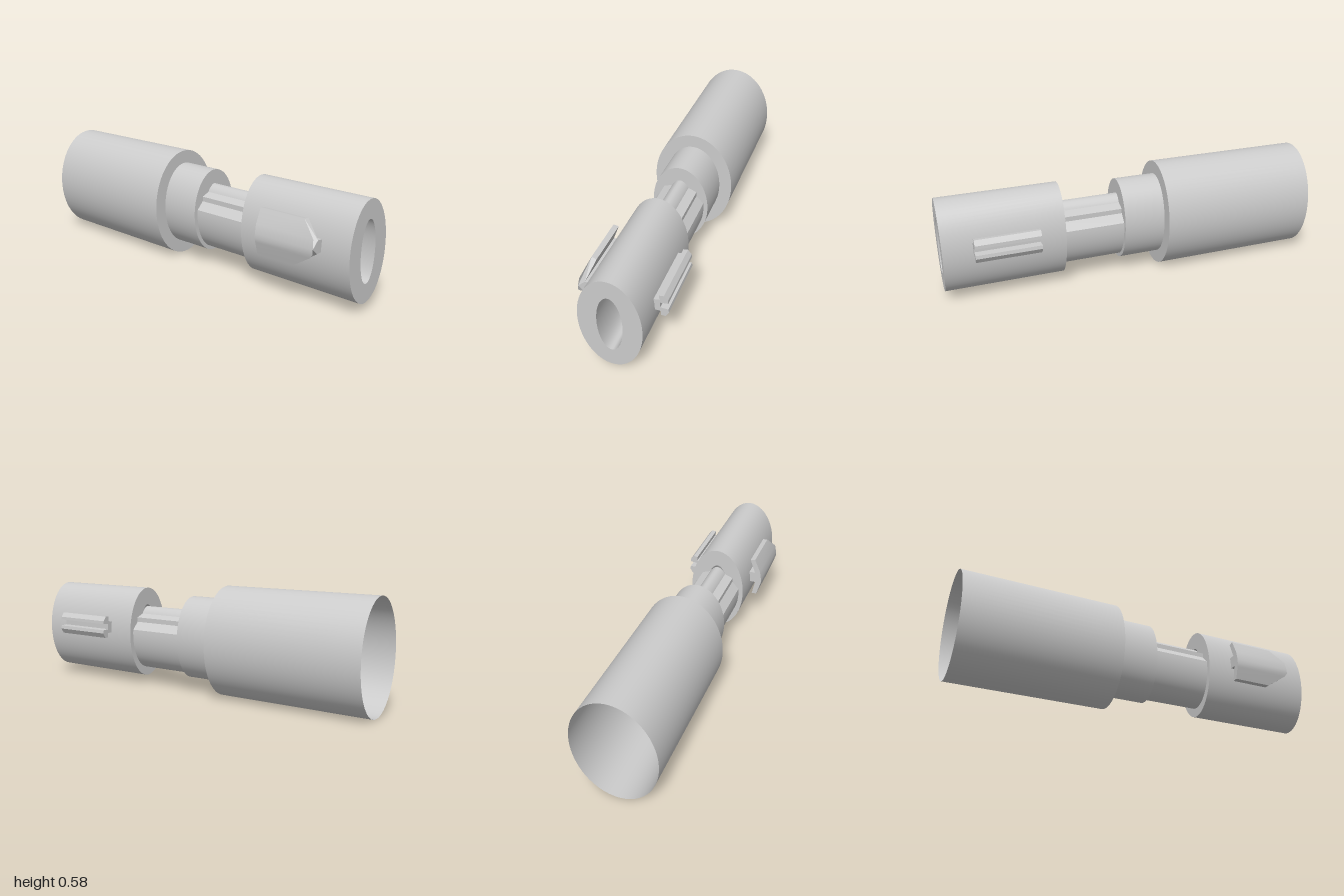
import * as THREE from 'three';
import { toCreasedNormals } from 'three/addons/utils/BufferGeometryUtils.js';

const CY = 0.293; // height of the common axis
const material = new THREE.MeshStandardMaterial({ color: 0xcccccc, side: THREE.DoubleSide });

// Closed loop of points around an ellipse on the axis
function ellipse(rx, ry, n = 64) {
  return Array.from({ length: n }, (_, i) => {
    const a = (i / n) * Math.PI * 2;
    return new THREE.Vector2(rx * Math.cos(a), CY + ry * Math.sin(a));
  });
}

function ring(outer, inner) {
  const shape = new THREE.Shape(outer);
  if (inner) shape.holes.push(new THREE.Path(inner));
  return shape;
}

function part(name, geometry) {
  const mesh = new THREE.Mesh(toCreasedNormals(geometry, 0.5), material);
  mesh.name = name;
  return mesh;
}

// Thin open sleeve following an outline from z0 to z1
function sleeve(name, outline, z0, z1) {
  const pos = [];
  outline.forEach((p, i) => {
    const q = outline[(i + 1) % outline.length];
    pos.push(p.x, p.y, z0, q.x, q.y, z0, q.x, q.y, z1);
    pos.push(p.x, p.y, z0, q.x, q.y, z1, p.x, p.y, z1);
  });
  const g = new THREE.BufferGeometry();
  g.setAttribute('position', new THREE.Float32BufferAttribute(pos, 3));
  g.computeVertexNormals();
  return part(name, g);
}

// Flat shoulder between two outlines, facing the front
function shoulder(name, outer, inner, z) {
  return part(name, new THREE.ShapeGeometry(ring(outer, inner)).translate(0, 0, z));
}

function extrude(shape, z0, z1) {
  return new THREE.ExtrudeGeometry(shape, { depth: z1 - z0, bevelEnabled: false }).translate(0, 0, z0);
}

const toPoints = (list) => list.map(([x, y]) => new THREE.Vector2(x, y));

// Shaft section: smooth belly, sloping side ledges and a rounded top rib
function shaftOutline() {
  const half = [];
  for (let i = 0; i <= 20; i++) {
    const a = -Math.PI / 2 + (i / 20) * (Math.PI / 2 + 0.133);
    half.push([0.13 * Math.cos(a), CY + 0.203 * Math.sin(a)]);
  }
  half.push([0.09, 0.36], [0.09, 0.385], [0.045, 0.402]);
  for (let i = 0; i <= 5; i++) {
    const x = 0.04 * (1 - i / 5);
    half.push([x, 0.44 - 0.028 * (x / 0.04) ** 2]);
  }
  const mirrored = half.slice(1, -1).reverse().map(([x, y]) => [-x, y]);
  return toPoints([...half, ...mirrored]);
}

export function createModel() {
  const model = new THREE.Group();
  const tube = ellipse(0.22, 0.292);
  const collar = ellipse(0.152, 0.223);
  const shaft = shaftOutline();

  // Rear shell stepping down to the shaft
  model.add(
    sleeve('rearTube', tube, -1, -0.16),
    shoulder('rearTubeShoulder', tube, collar, -0.16),
    sleeve('collar', collar, -0.16, 0.06),
    shoulder('collarShoulder', collar, shaft, 0.06),
    sleeve('shaft', shaft, 0.06, 0.38),
  );

  // Front barrel with a bore
  const barrel = ring(ellipse(0.155, 0.252), ellipse(0.062, 0.157));
  model.add(part('frontBarrel', extrude(barrel, 0.38, 1)));

  // Grooved rail on the left side
  const rail = ring(toPoints([
    [0.14, 0.295], [0.183, 0.295], [0.183, 0.27], [0.205, 0.27], [0.222, 0.297],
    [0.219, 0.315], [0.181, 0.317], [0.181, 0.345], [0.219, 0.35], [0.218, 0.366],
    [0.199, 0.39], [0.176, 0.387], [0.178, 0.362], [0.14, 0.356],
  ]));
  model.add(part('grooveRail', extrude(rail, 0.52, 0.85)));

  // Curved plate on a stem, right side, with its front corners cut back
  const plate = ring(toPoints([
    [-0.14, 0.295], [-0.187, 0.295], [-0.17, 0.213], [-0.198, 0.215], [-0.217, 0.28],
    [-0.222, 0.3], [-0.221, 0.325], [-0.213, 0.37], [-0.18, 0.445], [-0.153, 0.44],
    [-0.183, 0.36], [-0.14, 0.356],
  ]));
  const plateGeometry = extrude(plate, 0.52, 0.85);
  const p = plateGeometry.attributes.position;
  for (let i = 0; i < p.count; i++) {
    if (p.getZ(i) < 0.8) continue;
    const y = p.getY(i);
    const up = Math.max(0, y - 0.365) / 0.08;
    const down = Math.max(0, 0.29 - y) / 0.077;
    p.setZ(i, 0.85 - 0.08 * up - 0.12 * down);
  }
  plateGeometry.computeVertexNormals();
  model.add(part('sidePlate', plateGeometry));

  return model;
}
